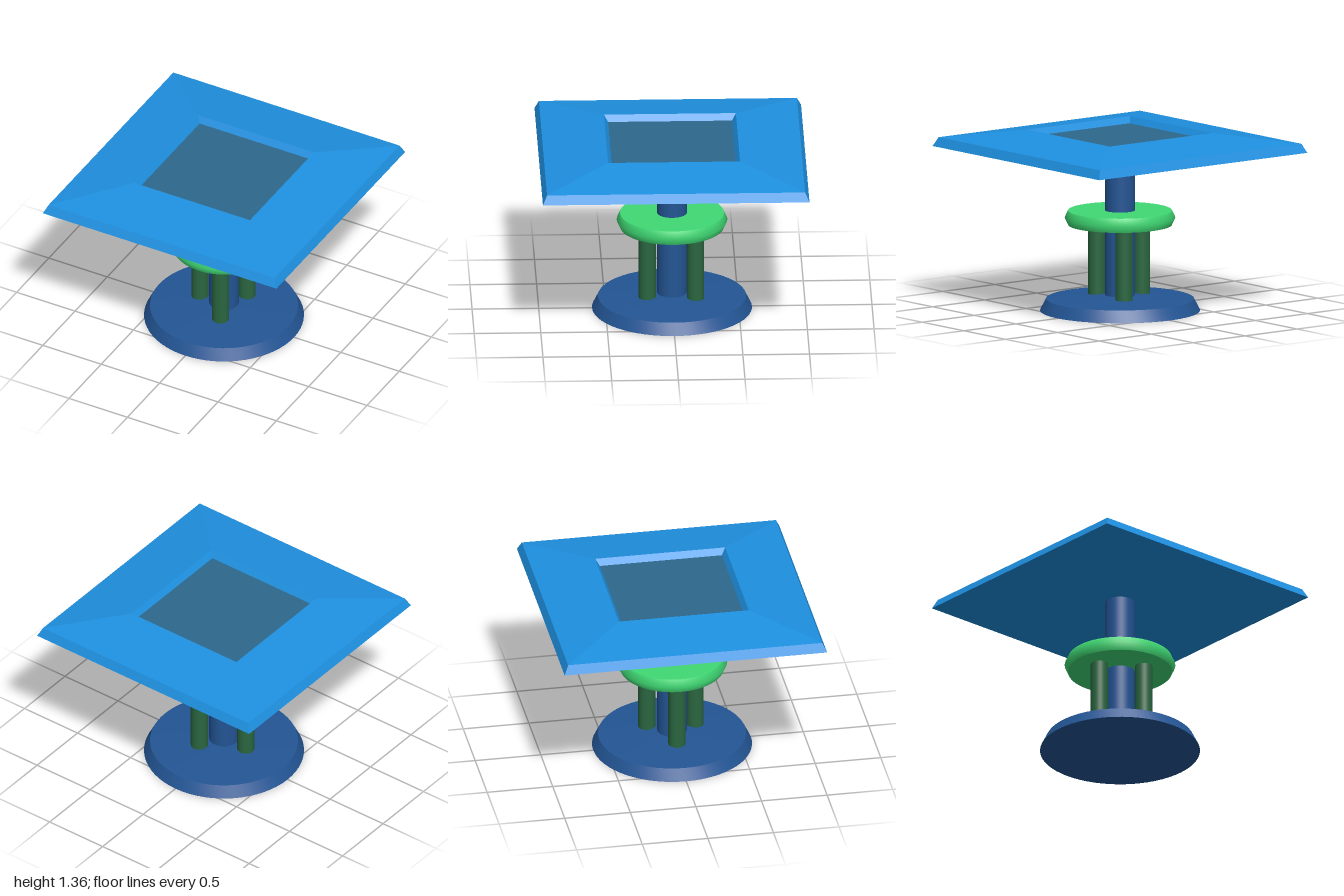
import * as THREE from 'three';
import { toCreasedNormals } from 'three/addons/utils/BufferGeometryUtils.js';

const v = (pairs) => pairs.map(([r, y]) => new THREE.Vector2(r, y));

function part(group, name, geometry, color, flatShading = false) {
  const mesh = new THREE.Mesh(geometry, new THREE.MeshStandardMaterial({ color, flatShading }));
  mesh.name = name;
  group.add(mesh);
  return mesh;
}

// Round turned part, sharp only at strong profile corners
const turned = (profile) => toCreasedNormals(new THREE.LatheGeometry(v(profile), 64), 0.9);

// Square part: a four-sided lathe, profile given as half-widths
const squared = (profile) =>
  new THREE.LatheGeometry(v(profile.map(([w, y]) => [w * Math.SQRT2, y])), 4, Math.PI / 4);

export function createModel() {
  const group = new THREE.Group();
  const blue = 0x235594;

  // Bevelled foot with a slightly domed top
  part(group, 'base', turned([[0, 0], [0.6, 0], [0.555, 0.09], [0.11, 0.118], [0, 0.118]]), blue);

  // Central column
  const column = part(group, 'column', new THREE.CylinderGeometry(0.111, 0.111, 1.14, 48), blue);
  column.position.y = 0.66;

  // Three support posts around the column
  [[-0.205, 0], [0.073, 0.187], [0.1, -0.173]].forEach(([x, z]) => {
    const post = part(group, 'supportPost', new THREE.CylinderGeometry(0.065, 0.065, 0.58, 32), 0x2a6640);
    post.position.set(x, 0.38, z);
  });

  // Round shelf with a bevelled rim
  part(group, 'shelf', turned([[0, 0.652], [0.39, 0.652], [0.415, 0.706], [0.39, 0.76], [0, 0.76]]), 0x3fd873);

  // Square top with sloping upper faces and a sunken centre
  part(group, 'topPlate', squared([
    [0, 1.222], [1, 1.222], [0.968, 1.29], [0.495, 1.36], [0.465, 1.312],
  ]), 0x1e90e0, true);
  part(group, 'recessFloor', squared([[0.465, 1.312], [0, 1.312]]), 0x2d688c, true);

  return group;
}
